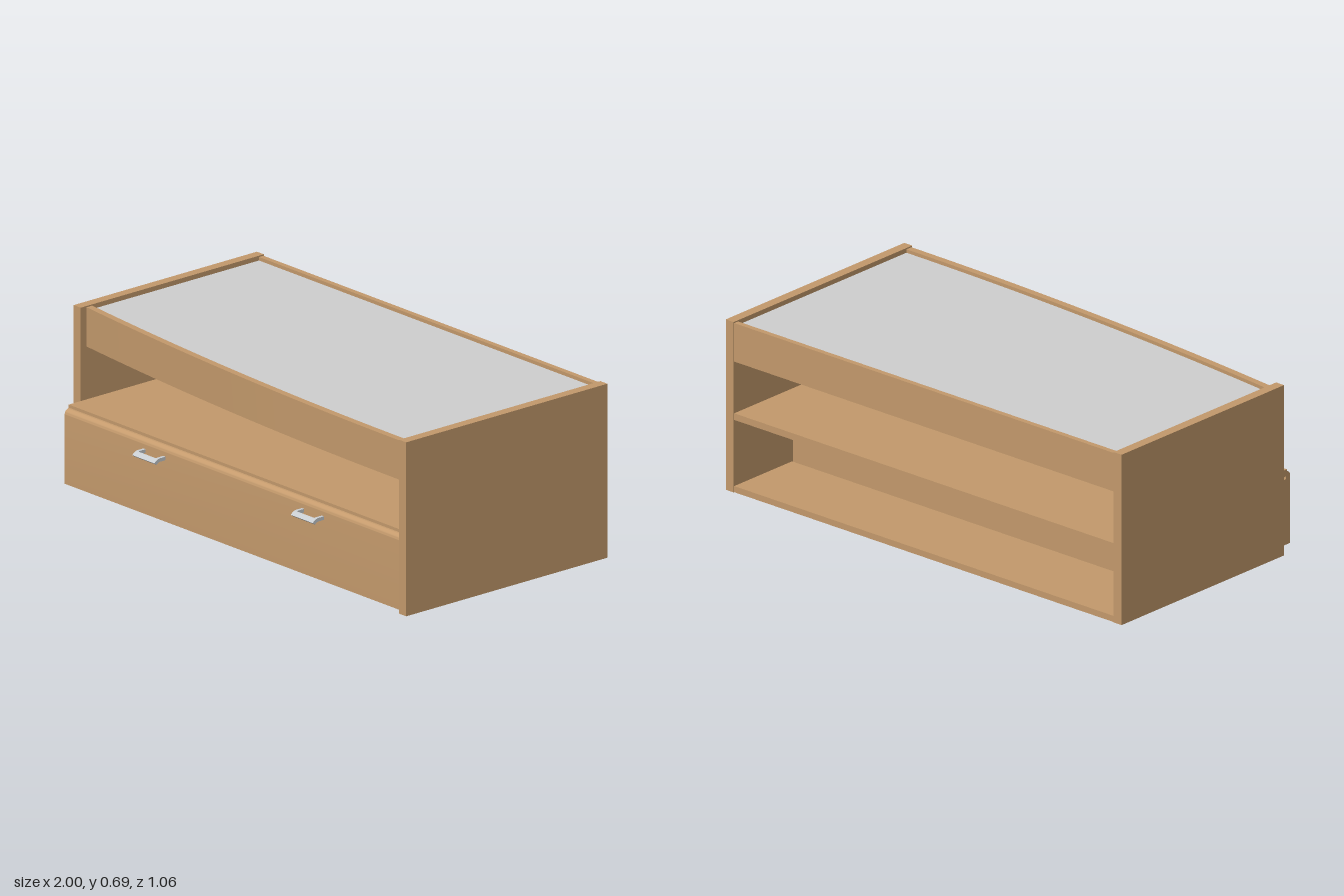
import * as THREE from 'three';
import { toCreasedNormals } from 'three/addons/utils/BufferGeometryUtils.js';

const mat = (name, color) => {
  const m = new THREE.MeshStandardMaterial({ color });
  m.name = name;
  return m;
};

// depth of the bowed front edge at a given x
const bow = (x) => 0.475 - 0.115 * ((0.96 - x) / 1.92) ** 2;

// points along the bowed front, left to right, set back by an inset
const bowPoints = (inset) => {
  const pts = [];
  for (let i = 0; i <= 32; i++) {
    const x = -0.96 + (1.92 * i) / 32;
    pts.push(new THREE.Vector2(x, inset - bow(x)));
  }
  return pts;
};

// horizontal outline (x, -z) raised from y0 to y1
function slab(points, y0, y1) {
  const geo = new THREE.ExtrudeGeometry(new THREE.Shape(points), { depth: y1 - y0, bevelEnabled: false });
  geo.rotateX(-Math.PI / 2).translate(0, y0, 0);
  return toCreasedNormals(geo, 0.5);
}

// side profile (z, y) swept along x from x0 to x1
function sweep(shape, x0, x1) {
  const geo = new THREE.ExtrudeGeometry(shape, { depth: x1 - x0, bevelEnabled: false, curveSegments: 10 });
  geo.rotateY(-Math.PI / 2).translate(x1, 0, 0);
  return toCreasedNormals(geo, 0.5);
}

export function createModel() {
  const wood = mat('wood', 0xc49a6c);
  const grey = mat('greyPanel', 0xd0d0d0);
  const metal = mat('handleMetal', 0xc8ccd0);

  const model = new THREE.Group();
  model.name = 'mediaCabinet';

  const add = (name, geo, material, parent = model) => {
    const mesh = new THREE.Mesh(geo, material);
    mesh.name = name;
    parent.add(mesh);
  };
  const box = (name, x0, x1, y0, y1, z0, z1, material = wood, parent = model) => {
    const geo = new THREE.BoxGeometry(x1 - x0, y1 - y0, z1 - z0);
    geo.translate((x0 + x1) / 2, (y0 + y1) / 2, (z0 + z1) / 2);
    add(name, geo, material, parent);
  };

  // carcass: the two sides have different depths
  box('leftSide', 0.96, 1, 0, 0.695, -0.53, 0.48);
  box('rightSide', -1, -0.96, 0, 0.695, -0.53, 0.39);
  box('shelf', -0.96, 0.96, 0.295, 0.322, -0.527, 0.45);
  box('rearFloor', -0.96, 0.96, 0, 0.025, -0.527, -0.2);
  box('backRail', -0.96, 0.96, 0.533, 0.69, -0.527, -0.505);

  // bowed front rail and the top box behind it
  const back = [new THREE.Vector2(0.96, 0.505), new THREE.Vector2(-0.96, 0.505)];
  add('frontRail', slab([...bowPoints(0), ...bowPoints(0.028).reverse()], 0.533, 0.69), wood);
  add('topBoxFloor', slab([...bowPoints(0.028), ...back], 0.536, 0.556), wood);
  add('topPanel', slab([...bowPoints(0.028), ...back], 0.66, 0.676), grey);

  // drawer with a rounded upper front edge and a grey bottom
  const drawer = new THREE.Group();
  drawer.name = 'drawer';
  model.add(drawer);
  const front = new THREE.Shape();
  front.moveTo(0.452, 0.013);
  front.lineTo(0.475, 0.013);
  front.lineTo(0.475, 0.288);
  front.absarc(0.452, 0.288, 0.023, 0, Math.PI / 2, false);
  front.closePath();
  add('drawerFront', sweep(front, -0.955, 0.959), wood, drawer);
  box('drawerBack', -0.955, 0.955, 0.013, 0.294, -0.2, -0.18, wood, drawer);
  box('drawerSide', -0.955, -0.938, 0.013, 0.28, -0.18, 0.452, wood, drawer);
  box('drawerSide', 0.938, 0.955, 0.013, 0.28, -0.18, 0.452, wood, drawer);
  box('drawerBottom', -0.938, 0.938, 0.03, 0.042, -0.18, 0.452, grey, drawer);

  // handles: two curved arms joined by a drooping grip
  const arc = (shape, start, end, r, cw) => shape.absarc(0.502, 0.238, r, start, end, cw);
  const arm = new THREE.Shape();
  arm.moveTo(0.475, 0.259);
  arm.lineTo(0.502, 0.259);
  arc(arm, Math.PI / 2, 0.62, 0.021, true);
  arc(arm, 0.62, Math.PI / 2, 0.035, false);
  arm.lineTo(0.475, 0.273);
  arm.closePath();
  const grip = new THREE.Shape();
  arc(grip, 0.62, 1.3, 0.035, false);
  arc(grip, 1.3, 0.62, 0.021, true);
  grip.closePath();
  for (const x of [-0.442, 0.462]) {
    const handle = new THREE.Group();
    handle.name = 'handle';
    drawer.add(handle);
    add('handleArm', sweep(arm, x - 0.063, x - 0.05), metal, handle);
    add('handleArm', sweep(arm, x + 0.05, x + 0.063), metal, handle);
    add('handleGrip', sweep(grip, x - 0.05, x + 0.05), metal, handle);
  }
  return model;
}
